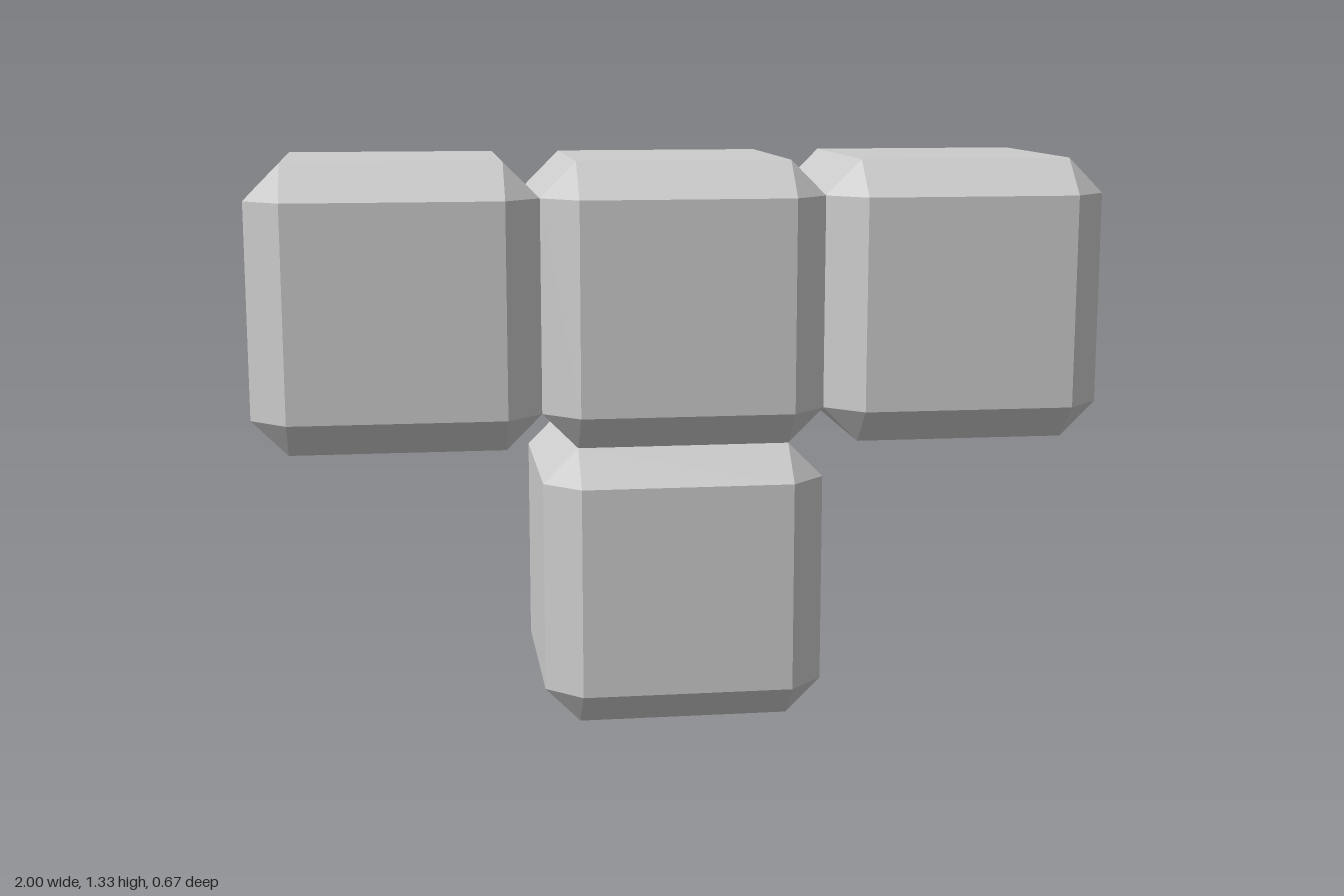
import * as THREE from 'three';
import { ConvexGeometry } from 'three/addons/geometries/ConvexGeometry.js';

const HALF = 1 / 3; // half the width of one block
const FLAT = 0.25; // half the width of each flat face

// Cube with bevelled edges and triangular corners
function bevelledCube() {
  const points = [];
  for (const x of [-1, 1]) for (const y of [-1, 1]) for (const z of [-1, 1]) {
    points.push(
      new THREE.Vector3(x * HALF, y * FLAT, z * FLAT),
      new THREE.Vector3(x * FLAT, y * HALF, z * FLAT),
      new THREE.Vector3(x * FLAT, y * FLAT, z * HALF)
    );
  }
  return new ConvexGeometry(points);
}

export function createModel() {
  const model = new THREE.Group();
  model.name = 'tBlock';
  const geometry = bevelledCube();
  const material = new THREE.MeshStandardMaterial({ color: 0xcccccc, flatShading: true });

  // Row of three blocks with one stem block below the middle
  const blocks = [
    ['rightBlock', -2 * HALF, 3 * HALF],
    ['middleBlock', 0, 3 * HALF],
    ['leftBlock', 2 * HALF, 3 * HALF],
    ['stemBlock', 0, HALF],
  ];
  for (const [name, x, y] of blocks) {
    const block = new THREE.Mesh(geometry, material);
    block.name = name;
    block.position.set(x, y, 0);
    model.add(block);
  }
  return model;
}
